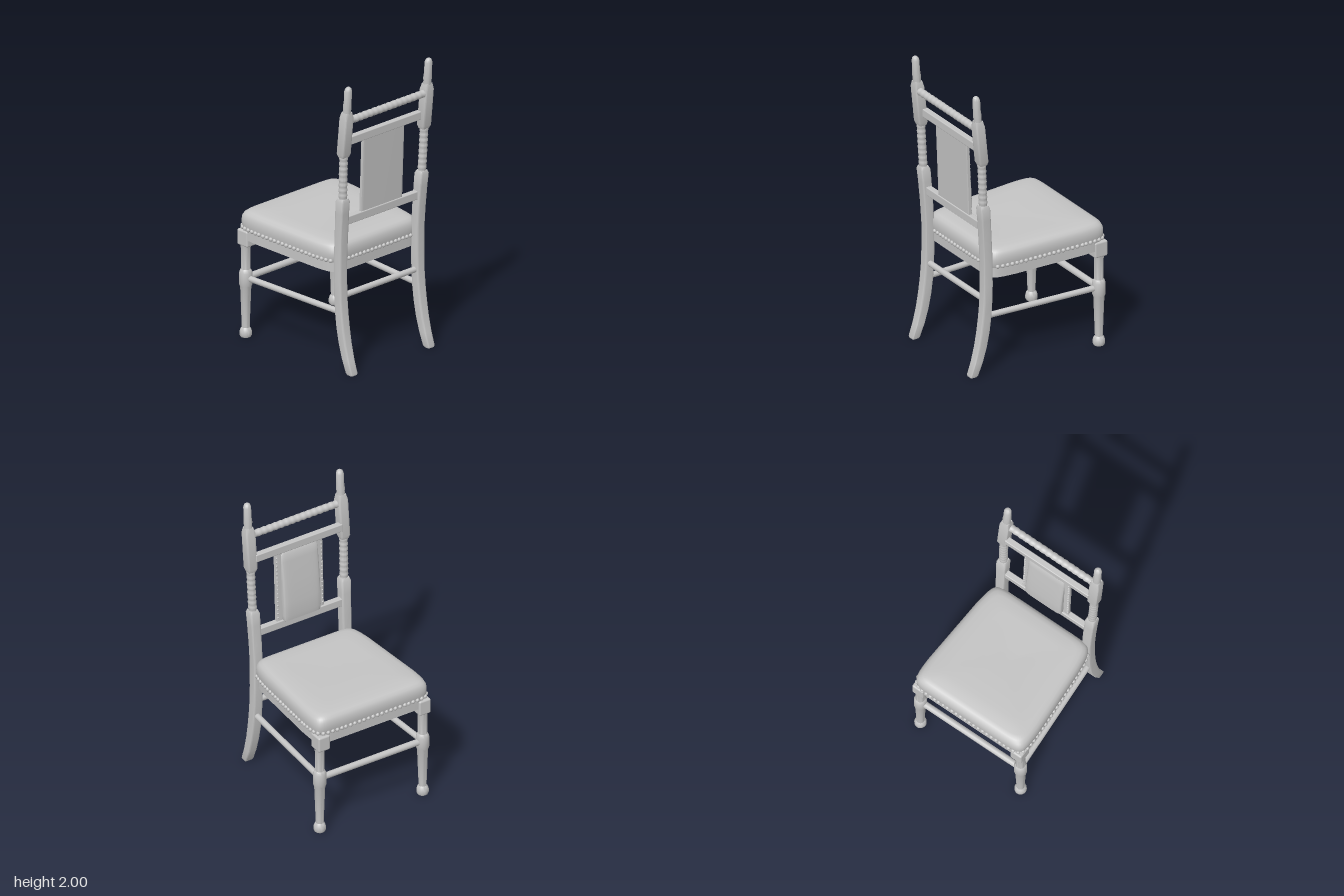
import * as THREE from 'three';
import { toCreasedNormals } from 'three/addons/utils/BufferGeometryUtils.js';
import { RoundedBoxGeometry } from 'three/addons/geometries/RoundedBoxGeometry.js';

const grey = new THREE.MeshStandardMaterial({ color: 0xc4c4c4 });
grey.name = 'pale grey';

function add(parent, name, geometry, x = 0, y = 0, z = 0) {
  const mesh = new THREE.Mesh(geometry, grey);
  mesh.name = name;
  mesh.position.set(x, y, z);
  parent.add(mesh);
  return mesh;
}

// Skin over a stack of rings (arrays of Vector3), capped at both ends
function loft(rings, crease = 0.7) {
  const n = rings[0].length, pos = [], index = [];
  rings.forEach(r => r.forEach(p => pos.push(p.x, p.y, p.z)));
  for (let i = 0; i < rings.length - 1; i++) {
    for (let j = 0; j < n; j++) {
      const a = i * n + j, b = i * n + (j + 1) % n;
      index.push(a, a + n, b, b, a + n, b + n);
    }
  }
  [0, rings.length - 1].forEach((r, top) => {
    const c = rings[r].reduce((s, p) => s.add(p), new THREE.Vector3()).divideScalar(n);
    const k = pos.length / 3;
    pos.push(c.x, c.y, c.z);
    for (let j = 0; j < n; j++) {
      const a = r * n + j, b = r * n + (j + 1) % n;
      if (top) index.push(k, b, a); else index.push(k, a, b);
    }
  });
  const g = new THREE.BufferGeometry();
  g.setAttribute('position', new THREE.Float32BufferAttribute(pos, 3));
  g.setIndex(index);
  return toCreasedNormals(g, crease);
}

// Point on a unit superellipse: power 1 is round, near 0 is square
function unit(t, power) {
  const f = v => Math.sign(v) * Math.pow(Math.abs(v), power);
  return [f(Math.cos(t)), f(Math.sin(t))];
}

// Rows of [y, x, halfX, halfZ] become horizontal rings
function column(rows, zAt, power, n = 24) {
  return loft(rows.map(([y, x, rx, rz]) => Array.from({ length: n }, (_, j) => {
    const [u, v] = unit((j + 0.5) / n * Math.PI * 2, power);
    return new THREE.Vector3(x + rx * u, y, zAt(y) + rz * v);
  })));
}

// Seat outline, slightly narrower at the back, shrunk by inset and tilted down
function seatRing(y, inset, n = 120) {
  return Array.from({ length: n }, (_, j) => {
    const [u, v] = unit((j + 0.5) / n * Math.PI * 2, 0.15);
    const x = -0.071 + 0.43 * u;
    const half = 0.418 - 0.075 * x - 0.1 * x * x;
    return new THREE.Vector3(-0.071 + (0.43 - inset) * u, y - 0.018 * (x + 0.5), (half - inset) * v);
  });
}

// Round bar between two points
function bar(parent, name, a, b, r) {
  const from = new THREE.Vector3(...a), to = new THREE.Vector3(...b);
  const dir = to.clone().sub(from);
  const m = add(parent, name, new THREE.CylinderGeometry(r, r, dir.length(), 16));
  m.position.copy(from).add(to).multiplyScalar(0.5);
  m.quaternion.setFromUnitVectors(new THREE.Vector3(0, 1, 0), dir.normalize());
}

export function createModel() {
  const chair = new THREE.Group();
  chair.name = 'chair';

  // Seat: frame with a recessed underside, padded top, nail heads
  add(chair, 'seatFrame', loft([
    seatRing(0.705, 0.06), seatRing(0.687, 0.05), seatRing(0.687, 0.008), seatRing(0.77, 0.008)], 0.5));
  add(chair, 'seatCushion', loft([[0.755, 0.008], [0.775, 0.002], [0.81, 0], [0.84, 0.003], [0.862, 0.014],
    [0.876, 0.032], [0.883, 0.06], [0.886, 0.15], [0.882, 0.3]].map(([y, i]) => seatRing(y, i)), 1.2));
  const nails = new THREE.Group();
  nails.name = 'nailHeads';
  chair.add(nails);
  const nailGeo = new THREE.SphereGeometry(0.014, 10, 8);
  const edge = new THREE.CatmullRomCurve3(seatRing(0.766, 0.003), true);
  edge.arcLengthDivisions = 800;
  for (const p of edge.getSpacedPoints(94).slice(1)) {
    if (p.x < 0.32 || Math.abs(p.z) < 0.3) add(nails, 'nailHead', nailGeo, p.x, p.y, p.z);
  }

  // Turned front leg, from foot to seat
  const legProfile = [[0, 0], [0.034, 0], [0.04, 0.012], [0.04, 0.035], [0.034, 0.055], [0.026, 0.065],
    [0.027, 0.1], [0.036, 0.345], [0.043, 0.362], [0.043, 0.445], [0.037, 0.462], [0.031, 0.47],
    [0.031, 0.61], [0.036, 0.64]].map(p => new THREE.Vector2(...p));
  const legGeo = toCreasedNormals(new THREE.LatheGeometry(legProfile, 24), 0.6);
  const cornerGeo = new RoundedBoxGeometry(0.098, 0.11, 0.088, 3, 0.012);

  // Rear post rows: [y, x, halfX, halfZ]
  const lower = [[0, 0.482, 0.022, 0.026], [0.012, 0.477, 0.028, 0.03], [0.1, 0.444, 0.031, 0.031],
    [0.2, 0.417, 0.033, 0.032], [0.3, 0.398, 0.034, 0.033], [0.4, 0.385, 0.034, 0.033],
    [0.5, 0.377, 0.033, 0.033], [0.62, 0.373, 0.033, 0.033], [0.8, 0.374, 0.033, 0.033],
    [0.95, 0.383, 0.033, 0.034], [1.1, 0.394, 0.034, 0.035], [1.185, 0.402, 0.035, 0.036],
    [1.205, 0.404, 0.027, 0.028]];
  const turned = [];
  for (let i = 0; i <= 36; i++) {
    const r = 0.0275 + 0.002 * Math.cos(i * Math.PI / 2);
    turned.push([1.19 + i * 0.0094, 0.403 + i * 0.00044, r, r]);
  }
  const block = [[1.5, 0.416, 0.026, 0.028], [1.525, 0.418, 0.034, 0.036],
    [1.78, 0.444, 0.034, 0.036], [1.82, 0.447, 0.026, 0.027]];
  const finial = [[1.8, 0.446, 0.027, 0.028], [1.84, 0.45, 0.026, 0.027], [1.86, 0.451, 0.028, 0.029],
    [1.9, 0.455, 0.025, 0.026], [1.97, 0.459, 0.025, 0.026], [1.99, 0.461, 0.019, 0.02], [2, 0.461, 0.007, 0.007]];

  for (const side of [1, -1]) {
    const tag = side > 0 ? 'left' : 'right';
    add(chair, tag + 'FrontLeg', legGeo, -0.457, 0, side * 0.393);
    add(chair, tag + 'CornerBlock', cornerGeo, -0.455, 0.69, side * 0.385);
    const post = new THREE.Group();
    post.name = tag + 'RearPost';
    chair.add(post);
    const zAt = y => side * (0.34 + 0.014 * THREE.MathUtils.smoothstep(y, 0.8, 1.5));
    add(post, 'curvedLowerPost', column(lower, zAt, 0.25));
    add(post, 'turnedPost', column(turned, zAt, 1));
    add(post, 'squareBlock', column(block, zAt, 0.25));
    add(post, 'finial', column(finial, zAt, 1));
    bar(chair, tag + 'SideStretcher', [-0.45, 0.407, side * 0.39], [0.38, 0.407, side * 0.345], 0.02);
  }
  bar(chair, 'frontStretcher', [-0.457, 0.407, -0.39], [-0.457, 0.407, 0.39], 0.022);
  bar(chair, 'rearStretcher', [0.377, 0.515, -0.33], [0.377, 0.515, 0.33], 0.02);

  // Beaded top rail
  const beads = [];
  for (let i = 0; i <= 64; i++) {
    beads.push(new THREE.Vector2(0.0225 + 0.0035 * Math.abs(Math.sin(i * Math.PI / 4)), -0.34 + i * 0.68 / 64));
  }
  add(chair, 'beadedTopRail', new THREE.LatheGeometry(beads, 20), 0.445, 1.755, 0).rotation.x = Math.PI / 2;

  // Back rails, panel, pad and its nail heads
  add(chair, 'upperBackRail', new RoundedBoxGeometry(0.042, 0.056, 0.66, 2, 0.006), 0.407, 1.597, 0);
  add(chair, 'lowerBackRail', new RoundedBoxGeometry(0.042, 0.056, 0.65, 2, 0.006), 0.385, 1.037, 0);
  add(chair, 'backPanel', column([[1.04, 0.387, 0.012, 0.18], [1.6, 0.409, 0.012, 0.18]], () => 0, 0.1));
  add(chair, 'backPad', column([[1.05, 0.377, 0.012, 0.125], [1.065, 0.371, 0.028, 0.137], [1.1, 0.37, 0.031, 0.14],
    [1.2, 0.373, 0.03, 0.14], [1.35, 0.384, 0.027, 0.14], [1.5, 0.397, 0.02, 0.14],
    [1.55, 0.4, 0.016, 0.137], [1.57, 0.404, 0.008, 0.125]], () => 0, 0.35, 40));
  const smallNail = new THREE.SphereGeometry(0.007, 8, 6);
  for (let i = 0; i < 16; i++) {
    for (const side of [1, -1]) {
      add(nails, 'backNailHead', smallNail, 0.378 + i * 0.00118, 1.09 + i * 0.03, side * 0.17);
    }
  }
  return chair;
}
